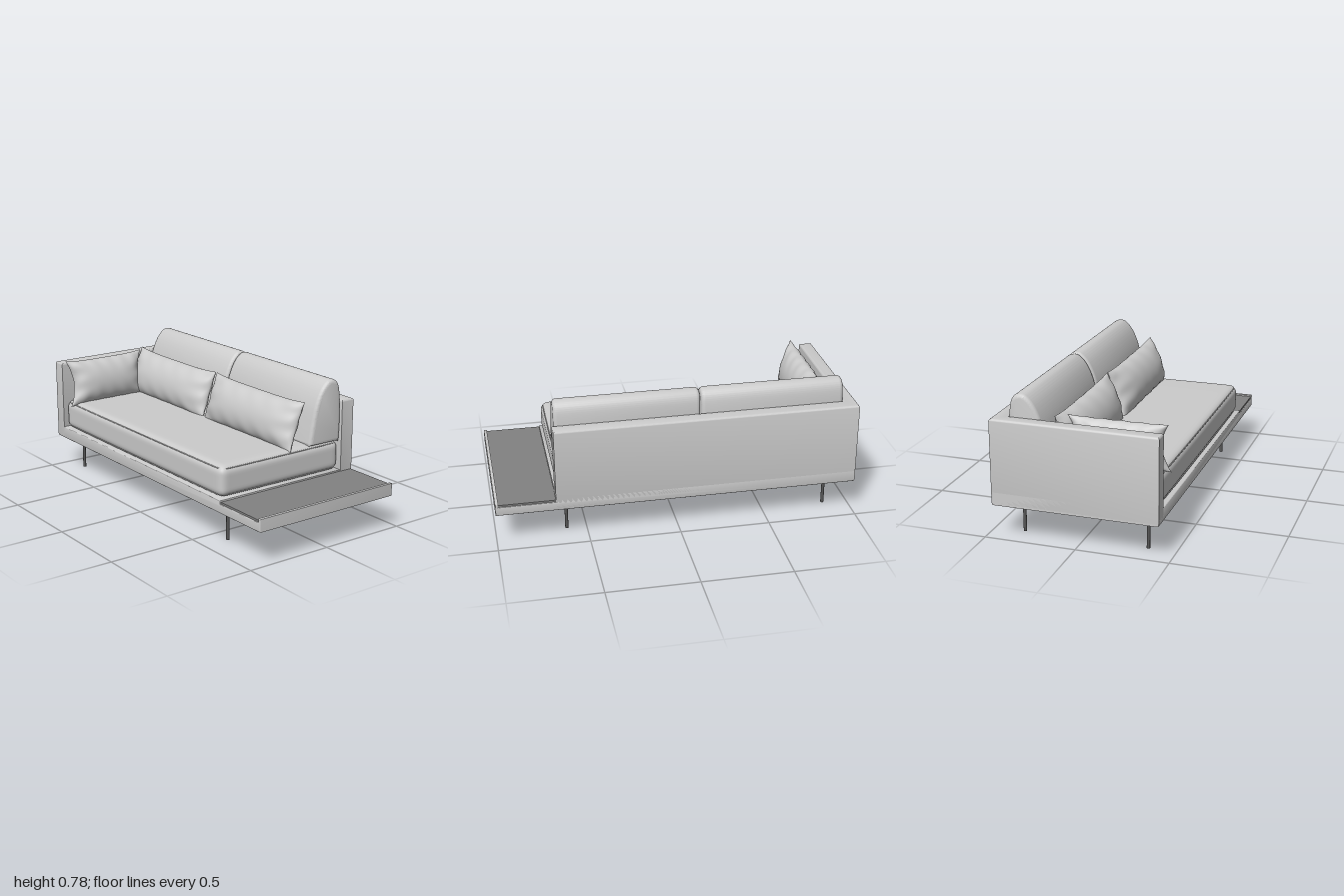
import * as THREE from 'three';
import { mergeGeometries, mergeVertices, toCreasedNormals } from 'three/addons/utils/BufferGeometryUtils.js';

const fabric = new THREE.MeshStandardMaterial({ color: 0xcccccc });
const tableTop = new THREE.MeshStandardMaterial({ color: 0x828282 });
const darkMetal = new THREE.MeshStandardMaterial({ color: 0x555555 });
const liner = new THREE.MeshStandardMaterial({ color: 0x333333 });

const polygon = (points) => new THREE.Shape(points.map(([x, y]) => new THREE.Vector2(x, y)));

// Extrusion from 0 to depth whose bevel stays inside the given outline
function bevelled(shape, depth, bevel, crease, curveSegments = 12) {
  const geo = new THREE.ExtrudeGeometry(shape, {
    depth: depth - 2 * bevel, bevelEnabled: true, bevelSize: bevel, bevelOffset: -bevel,
    bevelThickness: bevel, bevelSegments: 4, curveSegments,
  });
  geo.translate(0, 0, bevel);
  return toCreasedNormals(geo, crease);
}

// Rounded box with a slightly domed top
function softBox(w, h, d, r, crown) {
  let geo = new THREE.BoxGeometry(2, 2, 2, 32, 20, 32);
  geo.deleteAttribute('uv');
  geo.deleteAttribute('normal');
  const pos = geo.attributes.position;
  const half = new THREE.Vector3(w / 2, h / 2, d / 2);
  const inner = half.clone().subScalar(r);
  const ease = (s) => Math.sign(s) * (1 - (1 - Math.abs(s)) ** 2);
  const p = new THREE.Vector3(), core = new THREE.Vector3();
  for (let i = 0; i < pos.count; i++) {
    p.fromBufferAttribute(pos, i);
    const dome = p.y > 0 ? crown * (1 - p.x ** 4) * (1 - p.z ** 4) * p.y : 0;
    p.set(ease(p.x), ease(p.y), ease(p.z)).multiply(half);
    core.copy(p).clamp(inner.clone().negate(), inner);
    p.sub(core).setLength(r).add(core);
    pos.setXYZ(i, p.x, p.y + dome, p.z);
  }
  geo = mergeVertices(geo, 1e-5);
  geo.computeVertexNormals();
  return geo;
}

// Knife-edge pillow lying in the xy plane: two puffed sheets with pinched edges
function pillow(halfW, halfH, thick, pinchX, pinchY, seed) {
  const sheet = (k) => {
    const geo = new THREE.PlaneGeometry(2, 2, 56, 32);
    const pos = geo.attributes.position;
    for (let i = 0; i < pos.count; i++) {
      const u = Math.sin(pos.getX(i) * Math.PI / 2), v = Math.sin(pos.getY(i) * Math.PI / 2);
      const puff = Math.max(0, 1 - u ** 4) ** 0.6 * Math.max(0, 1 - v * v) ** 0.55;
      // soft creases running in from the seams
      const crease = 0.004 * Math.sin(u * 17 + v * 4 + k) * v * v + 0.004 * Math.sin(v * 9 - u * 3 + k) * u ** 4;
      pos.setXYZ(i,
        halfW * u * (1 - pinchX * (1 - v * v)),
        halfH * v * (1 - pinchY * (1 - u ** 4)),
        thick * puff + crease * Math.min(1, 3 * puff));
    }
    geo.computeVertexNormals();
    return geo;
  };
  return mergeGeometries([sheet(seed), sheet(seed + 2).rotateY(Math.PI)]);
}

// Thin welt cord around a rounded rectangle in the xz plane
function cord(w, d, r) {
  const a = w / 2 - r, b = d / 2 - r, pts = [];
  [[a, b], [-a, b], [-a, -b], [a, -b]].forEach(([x, z], q) => {
    for (let i = 0; i <= 5; i++) {
      const t = (q + i / 5) * Math.PI / 2;
      pts.push(new THREE.Vector3(x + r * Math.cos(t), 0, z + r * Math.sin(t)));
    }
  });
  const path = new THREE.CatmullRomCurve3(pts, true, 'centripetal');
  return new THREE.TubeGeometry(path, 160, 0.003, 6, true);
}

export function createModel() {
  const model = new THREE.Group();
  const add = (name, geo, material, x = 0, y = 0, z = 0) => {
    const mesh = new THREE.Mesh(geo, material);
    mesh.name = name;
    mesh.position.set(x, y, z);
    model.add(mesh);
    return mesh;
  };

  // Base platform, stepped down for the side table with a lip at the end
  const base = polygon([[-1, 0.187], [1, 0.187], [1, 0.257], [0.983, 0.257],
    [0.983, 0.238], [0.672, 0.238], [0.672, 0.257], [-1, 0.257]]);
  add('base', bevelled(base, 0.9, 0.006, 0.6), fabric, 0, 0, -0.455);
  add('sideTable', new THREE.BoxGeometry(0.31, 0.016, 0.892), tableTop, 0.828, 0.241, -0.005);
  add('underside', new THREE.BoxGeometry(1.96, 0.006, 0.86), liner, 0, 0.187, -0.005);

  // Backrest and single arm as one L-shaped shell
  const shell = polygon([[-1, -0.445], [-0.925, -0.445], [-0.925, 0.375],
    [0.675, 0.375], [0.675, 0.455], [-1, 0.455]]);
  add('backAndArm', bevelled(shell, 0.468, 0.012, 0.6).rotateX(-Math.PI / 2), fabric, 0, 0.187, 0);

  // Seat cushion with welts
  add('seatCushion', softBox(1.586, 0.168, 0.805, 0.042, 0.007), fabric, -0.132, 0.341, 0.027);
  for (const y of [0.413, 0.269]) {
    add('seatWelt', cord(1.562, 0.781, 0.035), fabric, -0.132, y, 0.027);
  }

  // Back cushions: wedge profile swept sideways
  const profile = new THREE.Shape();
  profile.moveTo(0.375, 0.422);
  profile.splineThru([[0.38, 0.55], [0.374, 0.69], [0.358, 0.752], [0.325, 0.775], [0.285, 0.77],
    [0.24, 0.722], [0.203, 0.64], [0.178, 0.53], [0.162, 0.44]].map((p) => new THREE.Vector2(...p)));
  profile.lineTo(0.168, 0.424);
  profile.closePath();
  const backCushion = bevelled(profile, 0.794, 0.022, 0.7, 40).rotateY(Math.PI / 2);
  for (const x of [-0.93, -0.131]) add('backCushion', backCushion, fabric, x, 0, 0);

  // Loose pillows
  [-0.53, 0.262].forEach((x, i) => {
    const geo = pillow(0.392, 0.142, 0.078, 0.04, 0.09, i * 3).rotateX(-0.34);
    add('lumbarPillow', geo, fabric, x, 0.546, -0.08);
  });
  const armPillow = pillow(0.267, 0.138, 0.074, 0.16, 0.08, 5).rotateY(Math.PI / 2).rotateZ(0.2);
  add('armPillow', armPillow, fabric, -0.842, 0.545, 0.187);

  // Legs
  const leg = new THREE.CylinderGeometry(0.009, 0.009, 0.19, 20);
  for (const x of [-0.86, 0.61]) {
    for (const z of [0.348, -0.332]) add('leg', leg, darkMetal, x, 0.095, z);
  }
  return model;
}
